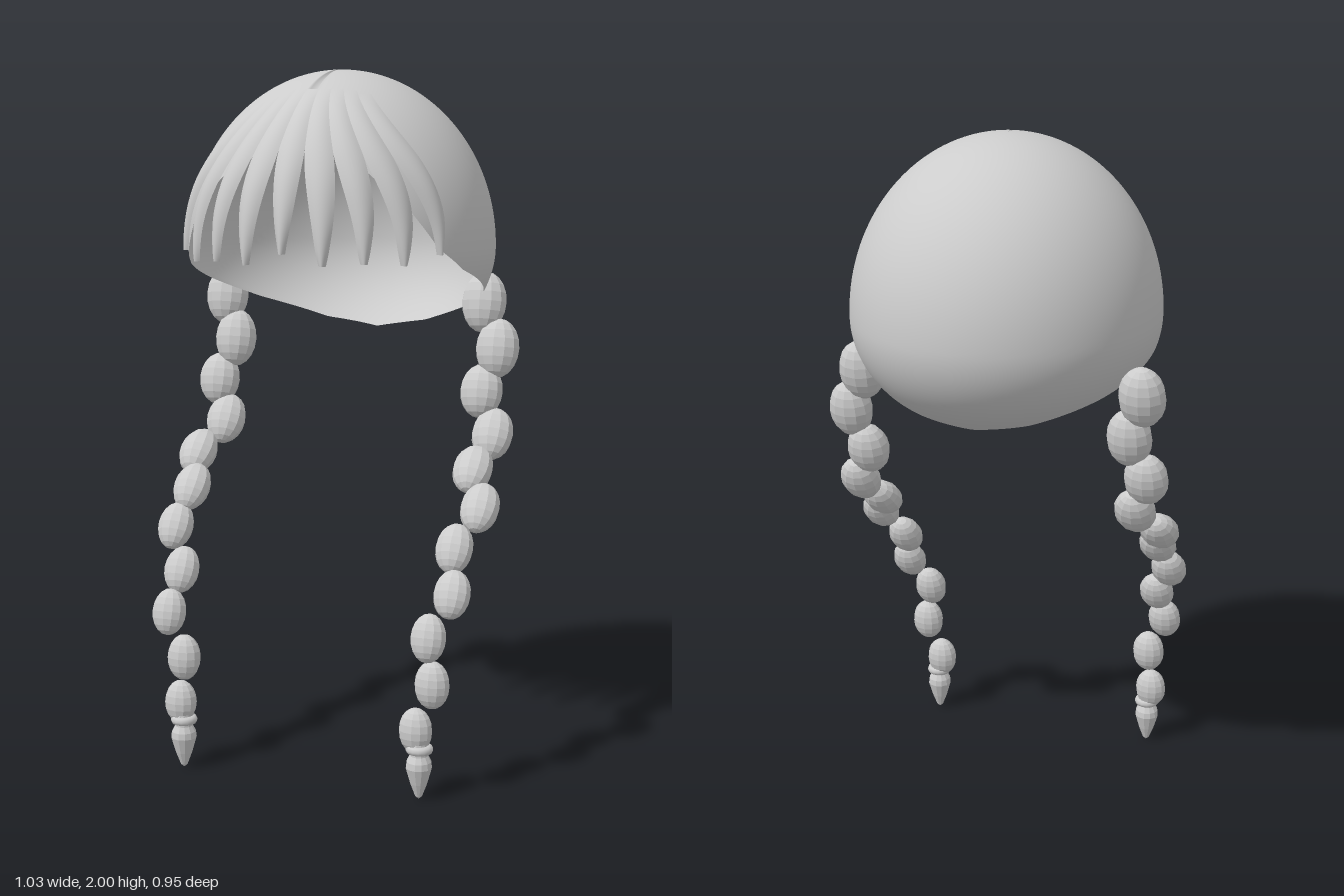
import * as THREE from 'three';

const hair = new THREE.MeshStandardMaterial({ color: 0xcccccc, side: THREE.DoubleSide });
hair.name = 'hairGrey';

const RAD = Math.PI / 180;
const CENTRE_Y = 1.5;

// Point on the head form: azimuth from the front towards +x, polar angle from the crown
function headPoint(azimuth, polar, swell = 1) {
  const c = Math.cos(polar);
  const ring = Math.sin(polar) * swell;
  const depth = Math.cos(azimuth) > 0 ? 0.455 : 0.475;
  return new THREE.Vector3(
    0.44 * ring * Math.sin(azimuth),
    CENTRE_Y + c * (c > 0 ? 0.5 : 0.34) * swell,
    depth * ring * Math.cos(azimuth)
  );
}

// Surface from a rule; u runs around, v runs down
function surface(nu, nv, rule, wrap) {
  const pos = [], index = [];
  const cols = wrap ? nu : nu + 1;
  for (let j = 0; j <= nv; j++)
    for (let i = 0; i < cols; i++) pos.push(...rule(i / nu, j / nv, i).toArray());
  for (let j = 0; j < nv; j++)
    for (let i = 0; i < nu; i++) {
      const a = j * cols + i, b = j * cols + ((i + 1) % cols);
      index.push(a, a + cols, b, b, a + cols, b + cols);
    }
  const geo = new THREE.BufferGeometry();
  geo.setAttribute('position', new THREE.Float32BufferAttribute(pos, 3));
  geo.setIndex(index);
  geo.computeVertexNormals();
  return geo;
}

function part(name, geo) {
  const mesh = new THREE.Mesh(geo, hair);
  mesh.name = name;
  return mesh;
}

function faceted(geo) {
  const flat = geo.toNonIndexed();
  flat.computeVertexNormals();
  return flat;
}

// Height of the cap rim by azimuth in degrees, front to back
const RIM = [[0, 1.78], [25, 1.75], [45, 1.62], [57, 1.51], [70, 1.45], [90, 1.40], [118, 1.33], [150, 1.265], [180, 1.24]];
function rimPolar(azimuth) {
  const deg = Math.min(azimuth, 2 * Math.PI - azimuth) / RAD;
  let k = 0;
  while (k < RIM.length - 2 && deg > RIM[k + 1][0]) k++;
  const [a0, y0] = RIM[k], [a1, y1] = RIM[k + 1];
  const y = THREE.MathUtils.lerp(y0, y1, (deg - a0) / (a1 - a0)) - CENTRE_Y;
  return Math.acos(y / (y > 0 ? 0.5 : 0.34));
}

// Cap with a narrow parting pressed in at the front of the crown
function makeCap() {
  return part('hairCap', surface(128, 48, (u, v, i) => {
    const azimuth = u * 2 * Math.PI;
    const polar = v * rimPolar(azimuth);
    const parting = i === 0 && polar > 0.02 && polar < 0.55;
    return headPoint(azimuth, polar, parting ? 0.965 : 1);
  }, true));
}

// Fringe of bulging strands that fan out and taper to points
function makeFringe() {
  const fringe = new THREE.Group();
  fringe.name = 'fringe';
  const tips = [1.5, 1.47, 1.475, 1.47, 1.495];
  for (let k = -4; k <= 4; k++) {
    const tipPolar = Math.acos((tips[Math.abs(k)] - CENTRE_Y) / 0.34);
    const start = (30 + (Math.abs(k) === 3 ? 1 : 0) + (Math.abs(k) === 4 ? 3 : 0)) * RAD;
    fringe.add(part('fringeStrand', surface(8, 20, (u, v) => {
      const s = u * 2 - 1;
      const polar = THREE.MathUtils.lerp(start, tipPolar, v);
      const fan = THREE.MathUtils.lerp(0.62, 1, THREE.MathUtils.smoothstep(polar, 30 * RAD, 85 * RAD));
      const taper = 1 - 0.82 * Math.pow(Math.max(0, (v - 0.46) / 0.54), 1.1);
      const azimuth = (k * 14.2 + s * 7.1 * taper) * fan * RAD;
      const bulge = (1 - s * s) * 0.03 * Math.min(1, v * 1.6);
      return headPoint(azimuth, polar, 1.01 + bulge);
    })));
  }
  return fringe;
}

// Braid rows: height, depth, x on the right, x on the left, width radius, half length
const BRAID = [
  [1.335, -0.17, -0.44, 0.38, 0.067, 0.09],
  [1.205, -0.14, -0.40, 0.43, 0.065, 0.087],
  [1.08, -0.115, -0.445, 0.39, 0.064, 0.08],
  [0.963, -0.07, -0.405, 0.437, 0.061, 0.08],
  [0.873, 0.02, -0.457, 0.405, 0.058, 0.08],
  [0.785, 0.125, -0.43, 0.457, 0.056, 0.078],
  [0.68, 0.197, -0.45, 0.405, 0.054, 0.073],
  [0.567, 0.265, -0.40, 0.42, 0.053, 0.07],
  [0.453, 0.32, -0.415, 0.37, 0.051, 0.068],
  [0.325, 0.33, -0.365, 0.385, 0.05, 0.067],
  [0.192, 0.335, -0.375, 0.34, 0.048, 0.064]
];

function makeBraid(name, column, tailX) {
  const braid = new THREE.Group();
  braid.name = name;
  const bead = faceted(new THREE.SphereGeometry(1, 12, 10));
  BRAID.forEach((row, i) => {
    const [y, z, , , radius, half] = row;
    const above = BRAID[Math.max(0, i - 1)], below = BRAID[Math.min(BRAID.length - 1, i + 1)];
    const mesh = part('braidLock', bead);
    mesh.position.set(row[column], y, z);
    mesh.scale.set(radius, half, radius * 0.8);
    mesh.rotation.x = Math.atan2(above[1] - below[1], above[0] - below[0]);
    braid.add(mesh);
  });
  // Tie and pointed end
  const tie = part('braidTie', new THREE.TorusGeometry(0.026, 0.013, 8, 14).rotateX(Math.PI / 2));
  tie.position.set(tailX, 0.142, 0.34);
  const profile = [[0.001, 0], [0.01, 0.008], [0.024, 0.045], [0.037, 0.09], [0.035, 0.108], [0.026, 0.125], [0.024, 0.16]];
  const end = part('braidEnd', faceted(new THREE.LatheGeometry(profile.map(p => new THREE.Vector2(...p)), 12)));
  end.position.set(tailX, 0, 0.343);
  braid.add(tie, end);
  return braid;
}

export function createModel() {
  const model = new THREE.Group();
  model.name = 'braidedHair';
  model.add(
    makeCap(),
    makeFringe(),
    makeBraid('rightBraid', 2, -0.363),
    makeBraid('leftBraid', 3, 0.353)
  );
  return model;
}
